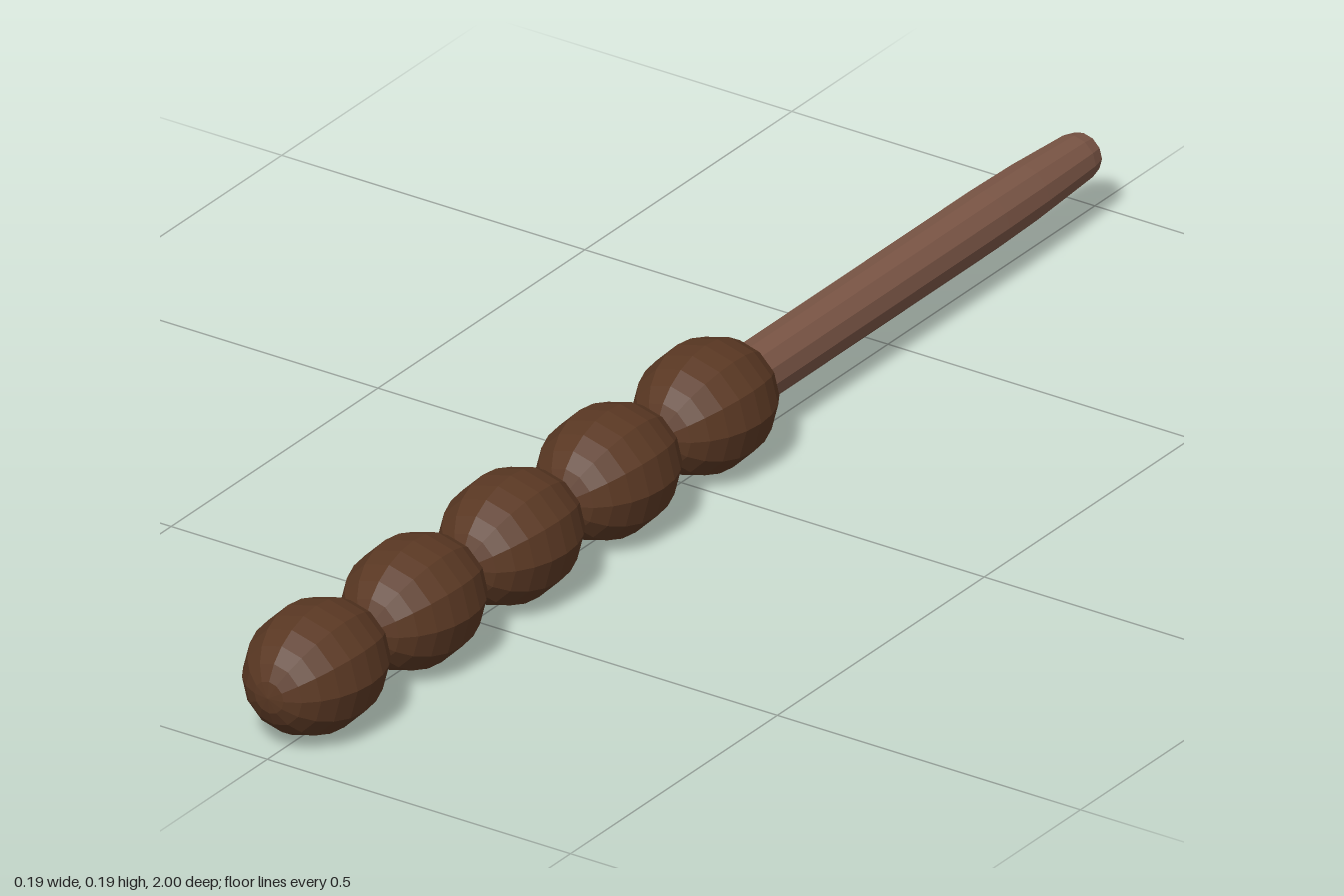
import * as THREE from 'three';

const RADIUS = 0.0927;

function material(name, color) {
  const m = new THREE.MeshStandardMaterial({ color, flatShading: true });
  m.name = name;
  return m;
}

export function createModel() {
  const group = new THREE.Group();
  group.name = 'beadedRod';
  const darkBrown = material('darkBrown', 0x5a3823);
  const lightBrown = material('lightBrown', 0x7a5545);

  // Five oval beads in a row form the grip
  const bead = new THREE.SphereGeometry(RADIUS, 12, 12);
  bead.rotateX(Math.PI / 2);
  bead.scale(1, 1, 0.118 / RADIUS);
  for (let i = 0; i < 5; i++) {
    const mesh = new THREE.Mesh(bead, darkBrown);
    mesh.name = `gripBead${i + 1}`;
    mesh.position.set(0, RADIUS, 0.882 - i * 0.235);
    group.add(mesh);
  }

  // Slender shaft, tapering to a blunt point at the back
  const profile = [
    [0, 0.06], [0.044, 0.06], [0.044, 0.73], [0.042, 0.83],
    [0.036, 0.95], [0.031, 0.972], [0, 1],
  ].map(([r, d]) => new THREE.Vector2(r, d));
  const shaftGeometry = new THREE.LatheGeometry(profile, 12);
  shaftGeometry.rotateX(-Math.PI / 2);
  const shaft = new THREE.Mesh(shaftGeometry, lightBrown);
  shaft.name = 'shaft';
  shaft.position.y = RADIUS;
  group.add(shaft);

  return group;
}
